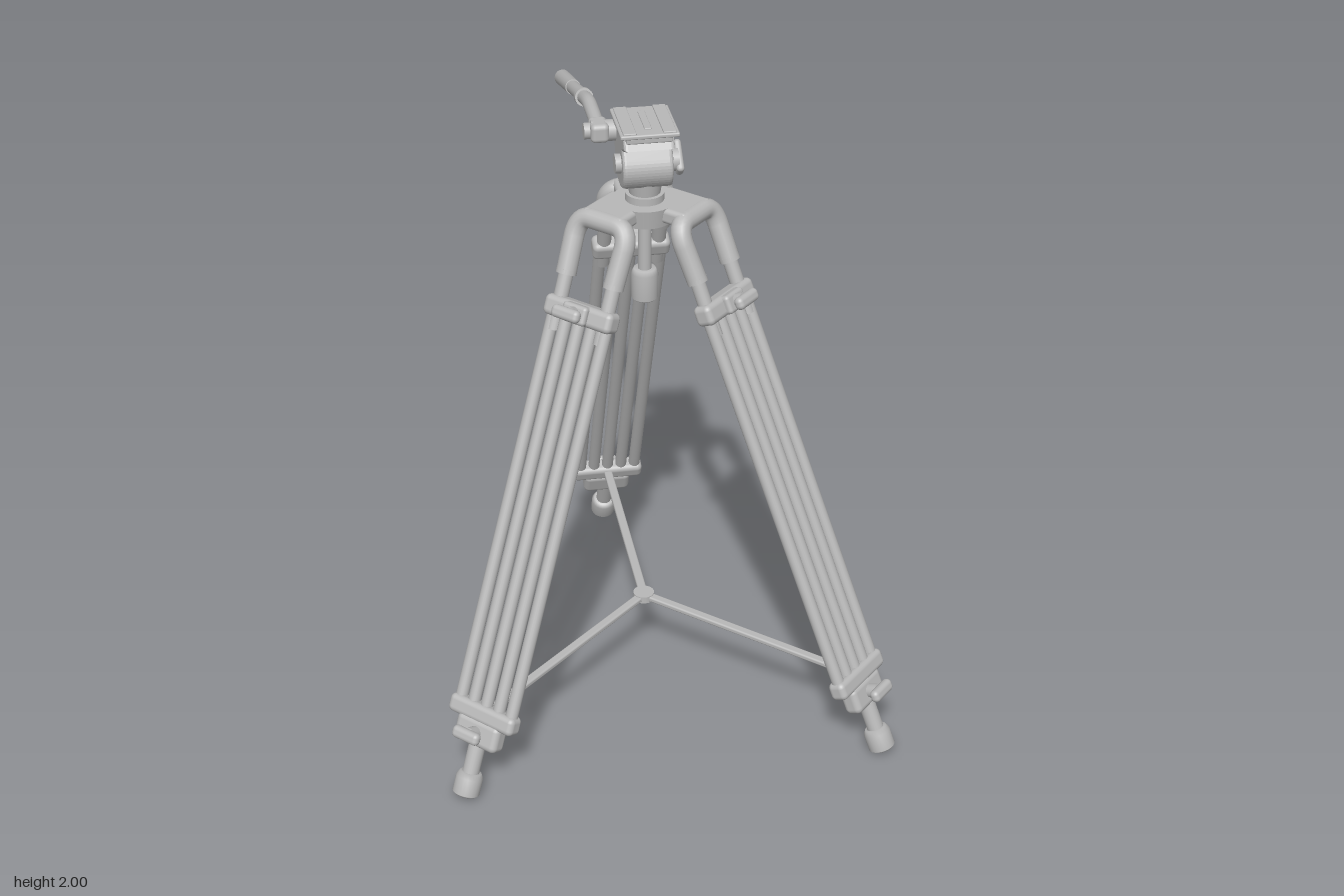
import * as THREE from 'three';
import { RoundedBoxGeometry } from 'three/addons/geometries/RoundedBoxGeometry.js';

const grey = new THREE.MeshStandardMaterial({ color: 0xb8b8b8 });
grey.name = 'satin grey';

const V = (x, y, z) => new THREE.Vector3(x, y, z);

function add(parent, name, geometry, x = 0, y = 0, z = 0) {
  const mesh = new THREE.Mesh(geometry, grey);
  mesh.name = name;
  mesh.position.set(x, y, z);
  parent.add(mesh);
  return mesh;
}

const rbox = (w, h, d, r = 0.012) => new RoundedBoxGeometry(w, h, d, 3, r);

// Cylinder between two points
function rod(parent, name, a, b, r0, r1 = r0, sides = 20) {
  const dir = b.clone().sub(a);
  const mesh = add(parent, name, new THREE.CylinderGeometry(r1, r0, dir.length(), sides));
  mesh.position.copy(a).add(b).multiplyScalar(0.5);
  mesh.quaternion.setFromUnitVectors(V(0, 1, 0), dir.normalize());
  return mesh;
}

// Wing knob on a short stem, sticking out along +z
function wingKnob(parent, y, z) {
  const knob = new THREE.Group();
  knob.name = 'lockKnob';
  knob.position.set(0, y, z);
  rod(knob, 'knobStem', V(0, 0, -0.02), V(0, 0, 0.03), 0.022);
  add(knob, 'knobWing', rbox(0.1, 0.04, 0.032, 0.015), 0, 0, 0.04);
  parent.add(knob);
}

// One leg: local -y runs down the leg, local z faces outward
function makeLeg(name, x, z, azimuth) {
  const leg = new THREE.Group();
  leg.name = name;
  leg.position.set(x, 1.72, z);
  leg.rotation.set(-0.421, azimuth, 0, 'YXZ');

  // Fork
  const path = new THREE.CurvePath();
  const p = [V(-0.088, -0.19, 0), V(-0.092, -0.07, 0), V(-0.09, -0.012, 0), V(-0.045, -0.01, 0)];
  const q = p.map((v) => V(-v.x, v.y, v.z)).reverse();
  path.add(new THREE.LineCurve3(p[0], p[1]));
  path.add(new THREE.QuadraticBezierCurve3(p[1], p[2], p[3]));
  path.add(new THREE.LineCurve3(p[3], q[0]));
  path.add(new THREE.QuadraticBezierCurve3(q[0], q[1], q[2]));
  path.add(new THREE.LineCurve3(q[2], q[3]));
  add(leg, 'fork', new THREE.TubeGeometry(path, 48, 0.032, 16));
  for (const s of [-1, 1]) {
    rod(leg, 'forkTip', V(s * 0.088, -0.18, 0), V(s * 0.088, -0.195, 0), 0.032, 0.032);
    rod(leg, 'forkRod', V(s * 0.088, -0.17, 0), V(s * 0.088, -0.37, -0.004), 0.023);
  }

  // Upper clamp
  add(leg, 'upperClamp', rbox(0.25, 0.065, 0.065, 0.018), 0, -0.296, 0);
  add(leg, 'upperClampBoss', rbox(0.09, 0.06, 0.05), 0, -0.296, 0.025);
  wingKnob(leg, -0.296, 0.045);

  // Parallel tubes
  for (let i = -2; i <= 2; i++) {
    rod(leg, 'legTube', V(i * 0.049, -0.3, 0), V(i * 0.049, -1.61, 0), 0.02);
  }

  // Lower clamp, sliding block and foot
  add(leg, 'lowerClamp', rbox(0.25, 0.06, 0.06, 0.018), 0, -1.595, 0);
  add(leg, 'lowerBlock', rbox(0.165, 0.09, 0.062, 0.02), 0, -1.655, 0);
  wingKnob(leg, -1.655, 0.035);
  rod(leg, 'footRod', V(0, -1.62, 0), V(0, -1.82, 0), 0.027);
  const foot = [[0, 1.865], [0.038, 1.865], [0.043, 1.86], [0.043, 1.805], [0.034, 1.79], [0, 1.79]];
  add(leg, 'foot', new THREE.LatheGeometry(foot.map(([r, s]) => new THREE.Vector2(r, -s)), 24));
  return leg;
}

// Pan and tilt head with its mounting plate
function makeHead() {
  const head = new THREE.Group();
  head.name = 'fluidHead';
  const zc = 0.145;
  rod(head, 'headBase', V(0, 1.73, zc), V(0, 1.765, zc), 0.06, 0.06, 32);
  rod(head, 'panCollar', V(0, 1.765, zc), V(0, 1.81, zc), 0.048, 0.055, 32);

  // Tilt body, profile drawn in z and y and extruded across x
  const s = new THREE.Shape();
  s.moveTo(0.21, 1.965);
  s.lineTo(0.05, 1.965);
  s.lineTo(0.04, 1.91);
  s.quadraticCurveTo(0.07, 1.86, 0.09, 1.81);
  s.quadraticCurveTo(0.14, 1.785, 0.19, 1.81);
  s.quadraticCurveTo(0.225, 1.85, 0.2, 1.89);
  s.lineTo(0.18, 1.925);
  s.lineTo(0.225, 1.945);
  const bodyGeo = new THREE.ExtrudeGeometry(s, {
    depth: 0.13, bevelSize: 0.01, bevelThickness: 0.012, bevelSegments: 3, curveSegments: 10,
  });
  bodyGeo.translate(0, 0, -0.065).rotateY(-Math.PI / 2);
  add(head, 'tiltBody', bodyGeo);

  // Plate with raised rails
  add(head, 'plateClamp', rbox(0.14, 0.02, 0.19, 0.005), 0, 1.972, 0.14);
  add(head, 'mountPlate', rbox(0.178, 0.014, 0.21, 0.005), 0, 1.988, 0.14);
  for (const x of [-0.06, 0.06]) add(head, 'plateRail', rbox(0.04, 0.01, 0.2, 0.003), x, 1.995, 0.14);
  add(head, 'plateScrewStrip', rbox(0.022, 0.01, 0.13, 0.003), 0, 1.994, 0.14);

  // Side controls
  rod(head, 'tiltAxle', V(0.07, 1.87, 0.16), V(0.098, 1.87, 0.16), 0.035);
  const lever = add(head, 'tiltLever', rbox(0.024, 0.045, 0.105, 0.011), 0.1, 1.875, 0.155);
  lever.rotation.x = 0.75;
  rod(head, 'sideBoss', V(0.06, 1.935, 0.065), V(0.09, 1.935, 0.065), 0.033);
  rod(head, 'handleAxle', V(-0.06, 1.935, 0.06), V(-0.15, 1.935, 0.06), 0.033);
  rod(head, 'handleKnob', V(-0.15, 1.935, 0.055), V(-0.172, 1.935, 0.055), 0.025);
  rod(head, 'leftBoss', V(-0.07, 1.87, 0.16), V(-0.095, 1.87, 0.16), 0.03);

  // Pan handle
  const hx = -0.126;
  add(head, 'handleMount', rbox(0.056, 0.06, 0.08, 0.015), hx, 1.938, 0.06);
  const bend = new THREE.CatmullRomCurve3([
    V(hx, 1.942, 0.06), V(hx, 1.945, -0.06), V(hx, 1.942, -0.14), V(hx, 1.912, -0.25),
  ]);
  add(head, 'handleArm', new THREE.TubeGeometry(bend, 30, 0.022, 16));
  const a = V(hx, 1.916, -0.235), b = V(hx, 1.772, -0.73);
  const at = (t) => a.clone().lerp(b, t);
  rod(head, 'handleCollar', at(0), at(0.06), 0.029);
  rod(head, 'handleBar', at(0.05), at(0.55), 0.022);
  rod(head, 'handleGrip', at(0.5), at(1), 0.025, 0.027);
  return head;
}

export function createModel() {
  const model = new THREE.Group();
  model.name = 'tripod';

  // Legs: name, pivot x, pivot z, azimuth
  const legs = [
    ['backLeg', 0, 0.005, Math.PI],
    ['leftLeg', 0.135, 0.22, Math.PI / 4],
    ['rightLeg', -0.135, 0.22, -Math.PI / 4],
  ];
  const spreaderHub = V(0, 0.262, 0.14);
  for (const [name, x, z, az] of legs) {
    model.add(makeLeg(name, x, z, az));

    // Shoulder from the hub to the fork
    const out = V(Math.sin(az), 0, Math.cos(az));
    const shoulder = add(model, 'hubShoulder', rbox(0.15, 0.05, 0.16, 0.015), x, 1.717, z);
    shoulder.position.addScaledVector(out, -0.06);
    shoulder.rotation.y = az;

    // Spreader arm
    const end = V(x, 0.262, z).addScaledVector(out, 0.645);
    const len = end.distanceTo(spreaderHub);
    const arm = add(model, 'spreaderArm', rbox(0.03, 0.018, len, 0.006));
    arm.position.copy(end).add(spreaderHub).multiplyScalar(0.5);
    arm.rotation.y = Math.atan2(end.x - spreaderHub.x, end.z - spreaderHub.z);
  }
  rod(model, 'spreaderHub', V(0, 0.25, 0.14), V(0, 0.274, 0.14), 0.035);

  // Hub and centre column
  rod(model, 'hub', V(0, 1.68, 0.145), V(0, 1.742, 0.145), 0.09, 0.1, 32);
  rod(model, 'centreColumn', V(0, 1.48, 0.147), V(0, 1.7, 0.147), 0.021);
  const weight = [[0, 1.4], [0.036, 1.4], [0.042, 1.406], [0.042, 1.49], [0.034, 1.505], [0, 1.505]];
  add(model, 'columnGrip', new THREE.LatheGeometry(weight.map(([r, y]) => new THREE.Vector2(r, y)), 24), 0, 0, 0.147);

  model.add(makeHead());
  return model;
}
